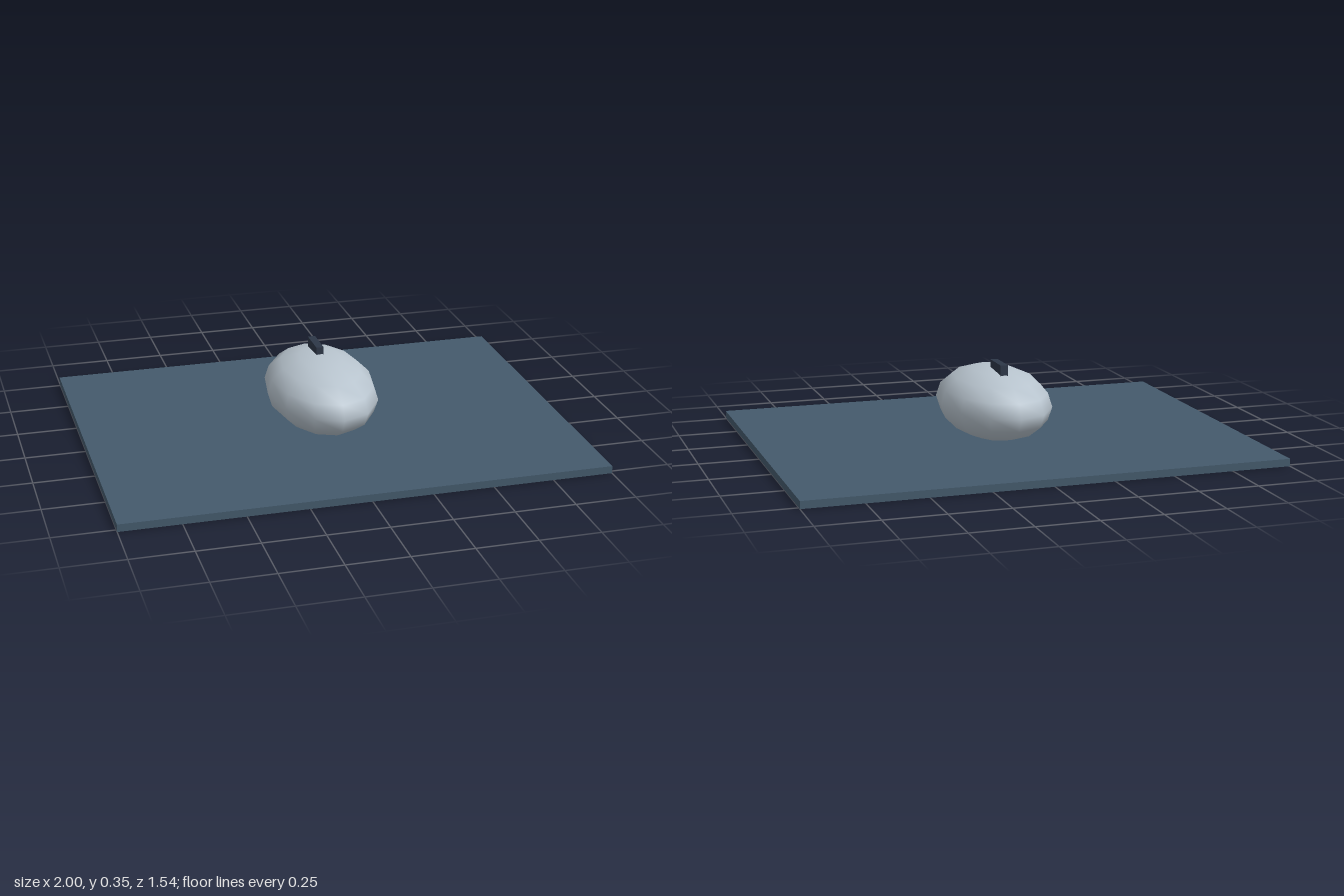
import * as THREE from 'three';

function part(name, geometry, color, x, y, z) {
  const mesh = new THREE.Mesh(geometry, new THREE.MeshStandardMaterial({ color }));
  mesh.name = name;
  mesh.position.set(x, y, z);
  return mesh;
}

export function createModel() {
  const model = new THREE.Group();
  model.name = 'mouseOnPad';

  // Thin flat pad
  model.add(part('pad', new THREE.BoxGeometry(2, 0.031, 1.538), 0x445a6c, 0, 0.0155, 0));

  // Smooth egg-shaped body, resting slightly in the pad
  const body = part('mouseBody', new THREE.SphereGeometry(1, 12, 8), 0xb8c4ce, 0, 0.173, 0);
  body.scale.set(0.228, 0.151, 0.368);
  model.add(body);

  // Scroll wheel block on top
  model.add(part('scrollWheel', new THREE.BoxGeometry(0.031, 0.046, 0.138), 0x2d3748, 0, 0.331, -0.077));

  return model;
}
